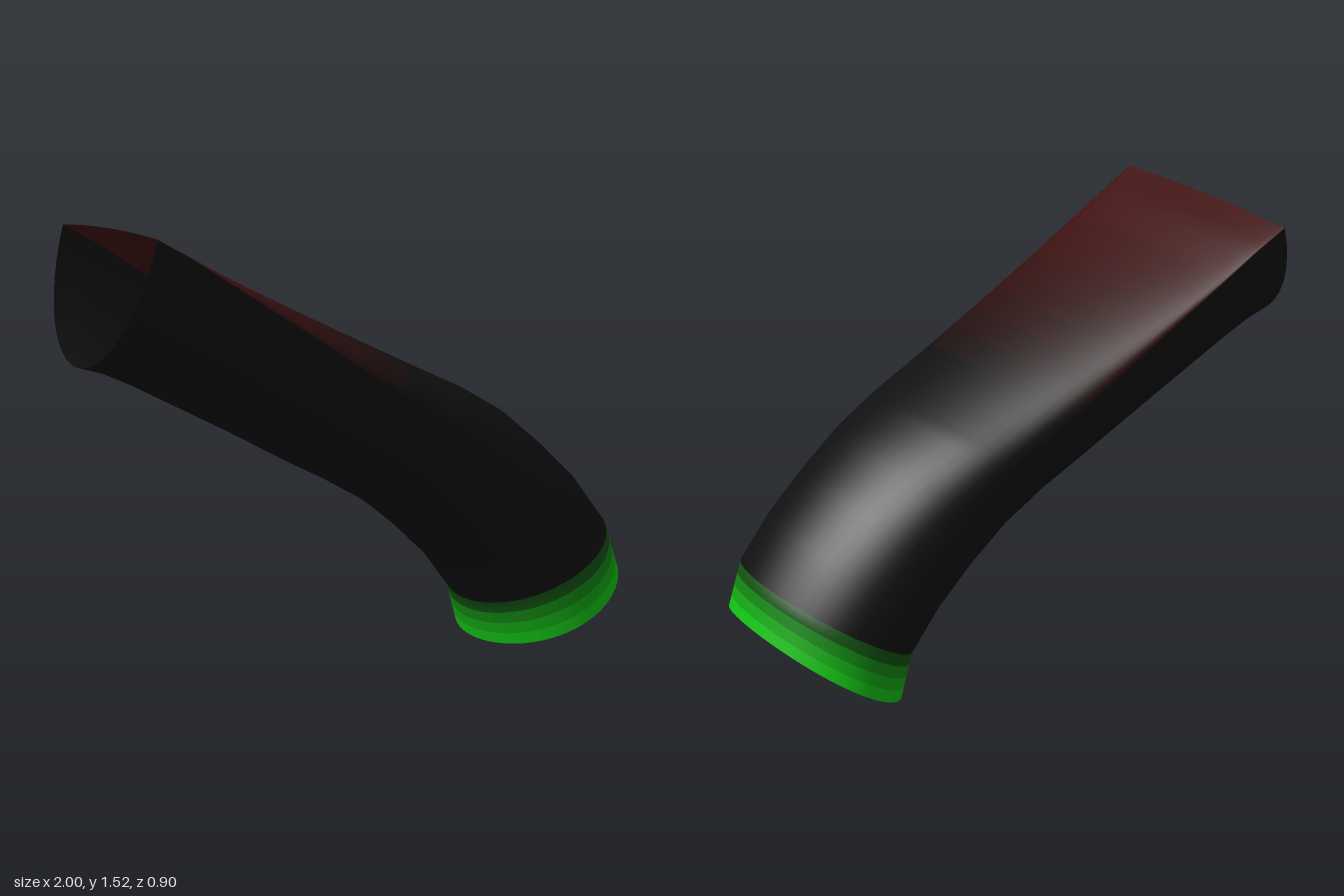
import * as THREE from 'three';

const SIDES = 48;
// Stations along the duct: top x, top y, bottom x, bottom y, centre z, half width, flatness of the top
const STATIONS = [
  [-0.88, 1.53, -1.0, 1.07, -0.01, 0.44, 1],
  [-0.76, 1.48, -0.91, 1.045, -0.008, 0.437, 0.93],
  [-0.6, 1.4, -0.81, 1.0, -0.004, 0.433, 0.85],
  [-0.2, 1.215, -0.46, 0.82, 0.012, 0.422, 0.6],
  [0.2, 1.03, -0.22, 0.69, 0.028, 0.411, 0.38],
  [0.38, 0.95, -0.1, 0.63, 0.034, 0.406, 0.28],
  [0.54, 0.86, 0.06, 0.54, 0.039, 0.403, 0.15],
  [0.69, 0.74, 0.2, 0.43, 0.044, 0.4, 0.07],
  [0.83, 0.61, 0.34, 0.3, 0.047, 0.4, 0],
  [0.945, 0.46, 0.45, 0.155, 0.05, 0.4, 0],
  [1.0, 0.31, 0.495, 0.005, 0.05, 0.4, 0],
];

// One cross-section: blends an ellipse into a half ellipse with a flat top
function sectionPoint(s, angle, sag) {
  const [tx, ty, bx, by, zc, w, flat] = s;
  const sin = Math.sin(angle), cos = Math.cos(angle);
  const halfRound = sin >= 0 ? 1 - 0.05 * cos * cos : 0.95 - 1.95 * -sin;
  const h = THREE.MathUtils.lerp(sin, halfRound, flat);
  const t = (1 - h) / 2;
  return [
    THREE.MathUtils.lerp(tx, bx, t),
    THREE.MathUtils.lerp(ty, by, t) - sag * cos * cos,
    zc + w * cos,
  ];
}

export function createModel() {
  const group = new THREE.Group();

  // Straight lengths and the outlet get extra rings so their colour can fade
  const rings = [];
  const last = STATIONS.length - 2;
  for (let i = 0; i <= last; i++) {
    const n = i < 5 || i === last ? 4 : 1;
    for (let k = 0; k < n; k++) {
      const s = STATIONS[i].map((v, j) => THREE.MathUtils.lerp(v, STATIONS[i + 1][j], k / n));
      rings.push({ s, outlet: i === last ? k / n : 0 });
    }
  }
  rings.push({ s: STATIONS[last + 1], outlet: 1 });

  const positions = [];
  for (const { s, outlet } of rings)
    for (let j = 0; j < SIDES; j++)
      positions.push(...sectionPoint(s, (j / SIDES) * Math.PI * 2, 0.022 * outlet));

  // Sort the faces into dark body, red top bands and green outlet bands
  const parts = {};
  const all = [];
  for (let i = 0; i < rings.length - 1; i++) {
    const x = (rings[i].s[0] + rings[i + 1].s[0]) / 2;
    const green = rings[i + 1].outlet > 0 ? Math.round((rings[i].outlet + 0.125) * 8) / 8 : 0;
    const red = Math.round(THREE.MathUtils.clamp((0.2 - x) / 0.85, 0, 1) * 8) / 8;
    for (let j = 0; j < SIDES; j++) {
      let name = 'ductBody', level = 0, tint = 0x101010;
      if (green > 0) [name, level, tint] = ['outletBand', green, 0x14cc14];
      else if (red > 0 && j < SIDES / 2) [name, level, tint] = ['topBand', red, 0x401010];
      const key = name + Math.round(level * 8);
      parts[key] ??= {
        name, index: [],
        color: new THREE.Color(0x101010).lerp(new THREE.Color(tint), level),
      };
      const a = i * SIDES + j, b = i * SIDES + ((j + 1) % SIDES);
      const quad = [a, a + SIDES, b, b, a + SIDES, b + SIDES];
      parts[key].index.push(...quad);
      all.push(...quad);
    }
  }

  // Normals come from the whole skin, so the bands join smoothly
  const skin = new THREE.BufferGeometry();
  skin.setAttribute('position', new THREE.Float32BufferAttribute(positions, 3));
  skin.setIndex(all);
  skin.computeVertexNormals();

  for (const { name, index, color } of Object.values(parts)) {
    const geometry = skin.clone();
    geometry.setIndex(index);
    const material = new THREE.MeshStandardMaterial({ color, side: THREE.DoubleSide });
    const mesh = new THREE.Mesh(geometry.toNonIndexed(), material);
    mesh.name = name;
    group.add(mesh);
  }
  group.name = 'duct';
  return group;
}
